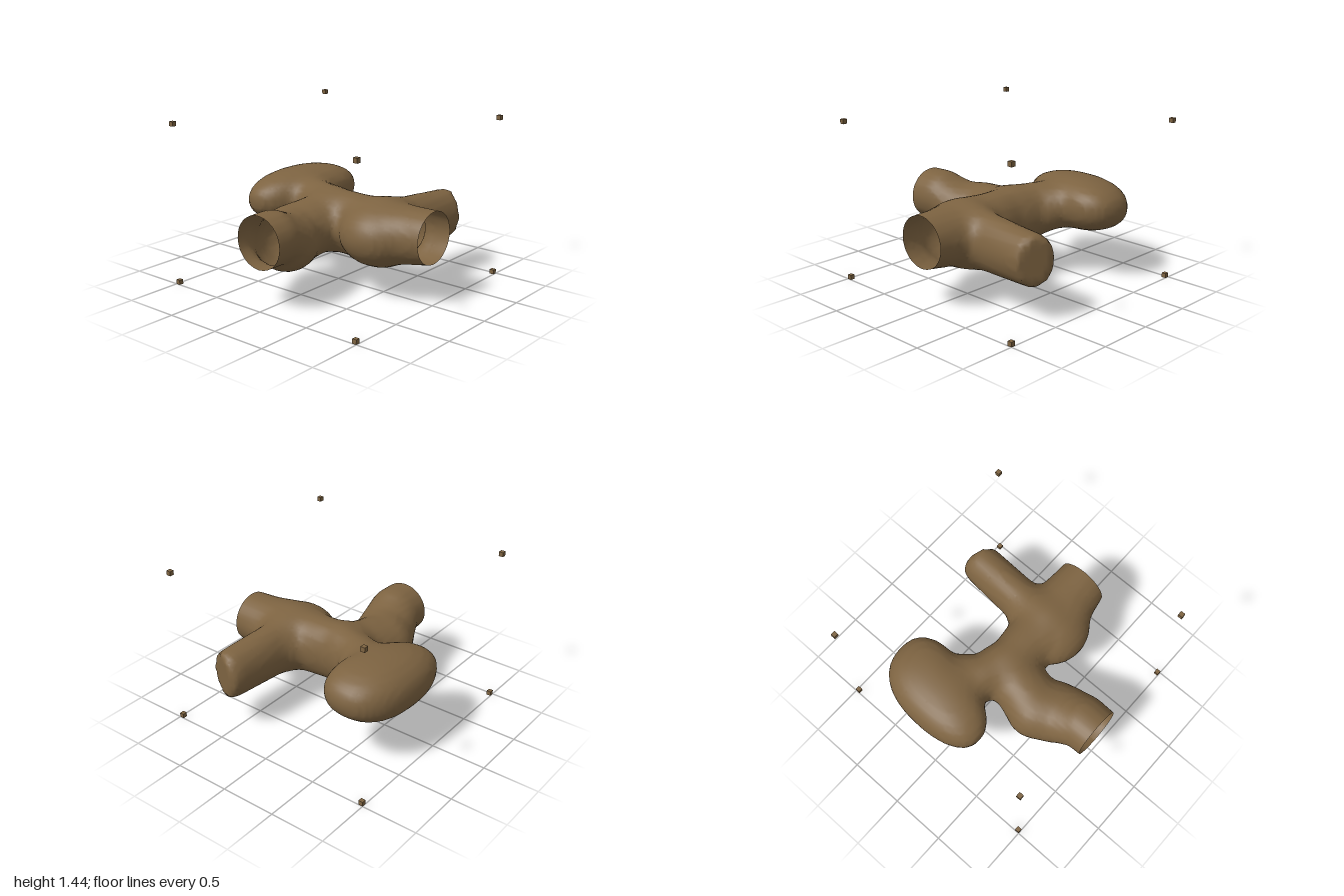
import * as THREE from 'three';

// Tunnel runs: [x, y, z, half width, half height] along each centre line
const TRUNK = [
  [0, 0.585, 1.2, 0.225, 0.225], [0, 0.585, 1, 0.23, 0.225], [-0.01, 0.57, 0.8, 0.255, 0.24],
  [-0.04, 0.54, 0.5, 0.36, 0.28], [-0.02, 0.545, 0.25, 0.24, 0.275], [-0.01, 0.555, 0, 0.2, 0.275],
  [0.06, 0.59, -0.25, 0.2, 0.245], [0.14, 0.62, -0.4, 0.245, 0.215], [0.2, 0.63, -0.6, 0.25, 0.2],
];
const SIDE_TUNNEL = [
  [-1.2, 0.585, 0, 0.225, 0.225], [-0.84, 0.59, 0, 0.235, 0.23], [-0.6, 0.49, -0.06, 0.27, 0.255],
  [-0.45, 0.487, -0.135, 0.275, 0.262], [-0.15, 0.54, -0.08, 0.235, 0.25], [0, 0.56, -0.05, 0.15, 0.2],
];
const DEAD_END = [
  [0, 0.54, 0.5, 0.2, 0.27], [0.3, 0.535, 0.515, 0.185, 0.245], [0.79, 0.525, 0.55, 0.178, 0.22],
];

// Approximate signed distance to a run of elliptical tube segments
function runDistance(run, x, y, z) {
  let best = Infinity;
  for (let i = 0; i + 1 < run.length; i++) {
    const a = run[i], b = run[i + 1];
    const dx = b[0] - a[0], dz = b[2] - a[2];
    const t = THREE.MathUtils.clamp(((x - a[0]) * dx + (z - a[2]) * dz) / (dx * dx + dz * dz), 0, 1);
    const [cx, cy, cz, w, h] = a.map((v, k) => v + (b[k] - v) * t);
    const d = (Math.hypot((x - cx) / w, (z - cz) / w, (y - cy) / h) - 1) * Math.min(w, h);
    best = Math.min(best, d);
  }
  return best;
}

// Skewed, slightly boxy ellipsoid chamber, fuller towards +x
function chamberDistance(x, y, z) {
  const u = (x - 0.23) / 0.53;
  const fullness = THREE.MathUtils.clamp(u, -1, 1);
  const v = (y - 0.638 - 0.07 * (z + 0.64)) / (0.236 * (1 + 0.04 * fullness));
  const w = (z + 0.64 - 0.13 * (x - 0.23)) / (0.315 * (1 + 0.15 * fullness));
  const power = 2.3;
  const sum = Math.abs(u) ** power + Math.abs(v) ** power + Math.abs(w) ** power;
  return (sum ** (1 / power) - 1) * 0.26;
}

function blend(a, b, k) {
  const h = Math.max(k - Math.abs(a - b), 0) / k;
  return Math.min(a, b) - h * h * k / 4;
}

function caveDistance(x, y, z) {
  // the dead end is cut off by a slanted wall
  const wall = 0.92 * x + 0.385 * z - 1.013;
  const deadEnd = Math.max(runDistance(DEAD_END, x, y, z), wall);
  let d = blend(runDistance(TRUNK, x, y, z), runDistance(SIDE_TUNNEL, x, y, z), 0.1);
  d = blend(d, deadEnd, 0.08);
  return blend(d, chamberDistance(x, y, z), 0.06);
}

// Skin the blended runs with a quad net, left open at x = -1 and z = 1
function caveGeometry() {
  const step = 0.04, origin = [-1.04, 0.16, -1.04], n = [53, 21, 53];
  const id = (p) => (p[0] * n[1] + p[1]) * n[2] + p[2];
  const at = (p) => p.map((v, k) => origin[k] + v * step);
  const points = [];
  for (let i = 0; i < n[0]; i++)
    for (let j = 0; j < n[1]; j++)
      for (let k = 0; k < n[2]; k++) points.push([i, j, k]);
  const field = points.map((p) => caveDistance(...at(p)));
  const shift = (p, axis, s) => p.map((v, k) => (k === axis ? v + s : v));

  // one vertex per crossed cell, at the mean of its edge crossings
  const cellVertex = new Map(), positions = [];
  for (const p of points) {
    if (p.some((v, k) => v >= n[k] - 1)) continue;
    const sum = new THREE.Vector3();
    let count = 0;
    for (let c = 0; c < 8; c++) {
      const q = [p[0] + (c & 1), p[1] + ((c >> 1) & 1), p[2] + (c >> 2)];
      for (let axis = 0; axis < 3; axis++) {
        if (c & (1 << axis)) continue;
        const f0 = field[id(q)], f1 = field[id(shift(q, axis, 1))];
        if (f0 < 0 === f1 < 0) continue;
        sum.add(new THREE.Vector3(...at(shift(q, axis, f0 / (f0 - f1)))));
        count++;
      }
    }
    if (!count) continue;
    sum.divideScalar(count);
    cellVertex.set(id(p), positions.length / 3);
    positions.push(Math.max(sum.x, -1), sum.y, Math.min(sum.z, 1));
  }

  // one quad around each crossed grid edge
  const index = [];
  for (const p of points) {
    for (let axis = 0; axis < 3; axis++) {
      const b = (axis + 1) % 3, c = (axis + 2) % 3;
      if (p[axis] >= n[axis] - 1 || p[b] < 1 || p[c] < 1) continue;
      const inside = field[id(p)] < 0;
      if (inside === field[id(shift(p, axis, 1))] < 0) continue;
      const quad = [p, shift(p, b, -1), shift(shift(p, b, -1), c, -1), shift(p, c, -1)]
        .map((q) => cellVertex.get(id(q)));
      if (quad.includes(undefined)) continue;
      if (!inside) quad.reverse();
      index.push(quad[0], quad[1], quad[2], quad[0], quad[2], quad[3]);
    }
  }
  const geometry = new THREE.BufferGeometry();
  geometry.setAttribute('position', new THREE.Float32BufferAttribute(positions, 3));
  geometry.setIndex(index);
  geometry.computeVertexNormals();
  return geometry;
}

export function createModel() {
  const model = new THREE.Group();
  model.name = 'caveTunnelTile';

  const rock = new THREE.MeshStandardMaterial({ color: 0x7d6341, side: THREE.DoubleSide });
  rock.name = 'brownRock';

  const cave = new THREE.Mesh(caveGeometry(), rock);
  cave.name = 'caveTunnels';
  model.add(cave);

  // small cubes marking the eight corners of the tile
  const markers = new THREE.Group();
  markers.name = 'cornerMarkers';
  const cube = new THREE.BoxGeometry(0.04, 0.04, 0.04);
  for (const x of [-0.98, 0.98])
    for (const y of [0.02, 1.42])
      for (const z of [-0.98, 0.98]) {
        const marker = new THREE.Mesh(cube, rock);
        marker.name = 'cornerMarker';
        marker.position.set(x, y, z);
        markers.add(marker);
      }
  model.add(markers);
  return model;
}
